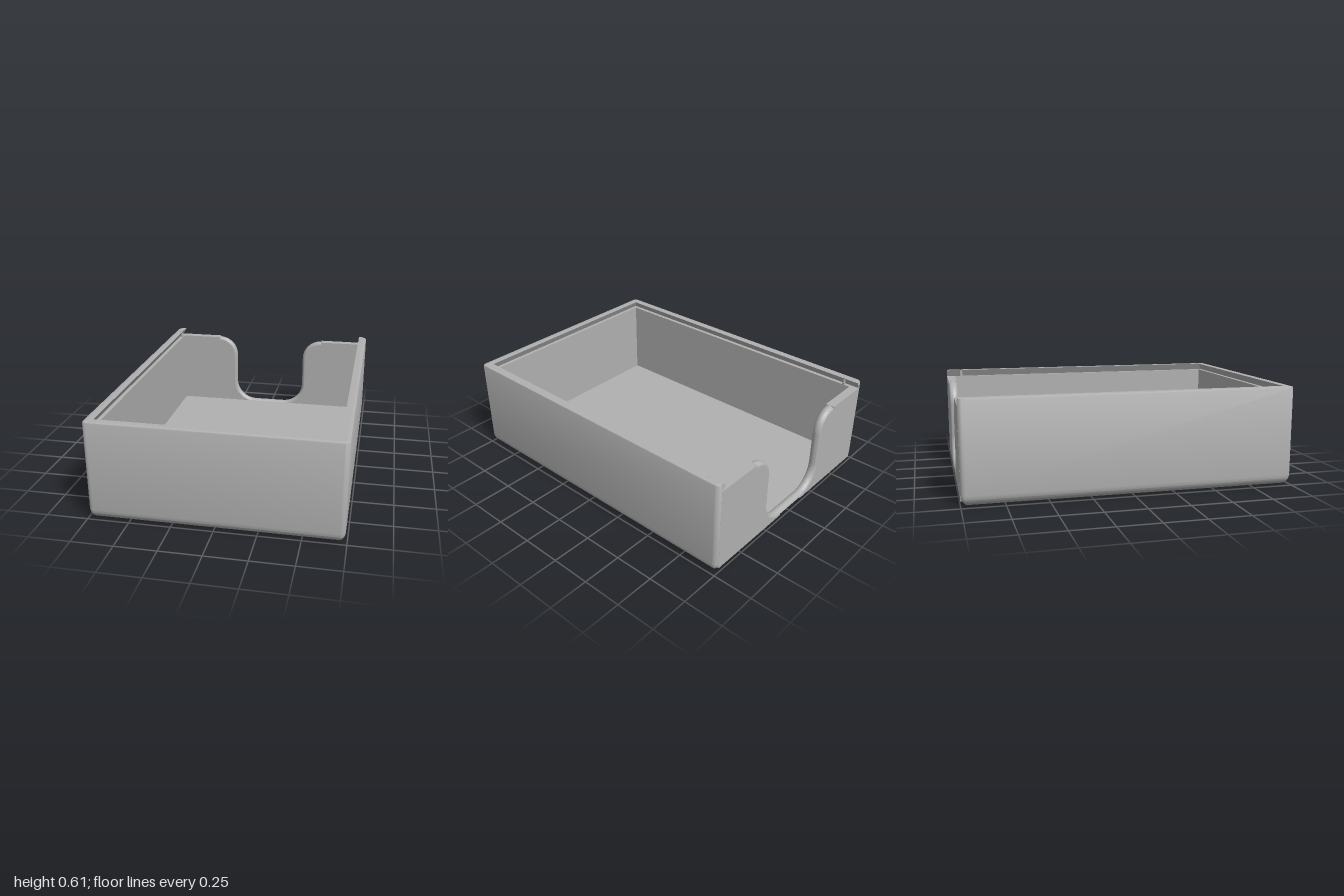
import * as THREE from 'three';
import { toCreasedNormals } from 'three/addons/utils/BufferGeometryUtils.js';

const HX = 0.74, HZ = 1, H = 0.61;     // half width, half depth, height
const R = 0.03, FILLET = 0.065;        // upright corner and bottom edge radii
const WALL = 0.055, SHELF = 0.565, BASE = 0.04;

// Surface through rows of points; it faces (along row) x (row to row)
function grid(rows) {
  const n = rows[0].length, index = [];
  for (let i = 0; i < rows.length - 1; i++) {
    for (let j = 0; j < n - 1; j++) {
      const a = i * n + j, b = a + n;
      index.push(a, a + 1, b, a + 1, b + 1, b);
    }
  }
  const geo = new THREE.BufferGeometry();
  geo.setAttribute('position', new THREE.Float32BufferAttribute(rows.flat(2), 3));
  geo.setIndex(index);
  return toCreasedNormals(geo, 0.6);
}

// Carries a profile of [inset, y] points around the rounded rectangle
function sweepAround(profile, closed) {
  const corners = [[1, -1], [1, 1], [-1, 1], [-1, -1]], rows = [];
  corners.forEach(([sx, sz], c) => {
    for (let k = 0; k <= 6; k++) {
      const a = (c - 1 + k / 6) * Math.PI / 2;
      rows.push(profile.map(([u, y]) => {
        const r = Math.max(R - u, 0), inset = Math.max(u, R);
        const insetZ = !closed && sz < 0 ? R : inset;
        return [sx * (HX - inset) + r * Math.cos(a), y, sz * (HZ - insetZ) + r * Math.sin(a)];
      }));
    }
  });
  if (closed) rows.push(rows[0]);
  return grid(rows);
}

const filletInset = (y) => FILLET - Math.sqrt(FILLET ** 2 - (FILLET - y) ** 2);

export function createModel() {
  const model = new THREE.Group();
  const grey = new THREE.MeshStandardMaterial({ color: 0xb0b0b0 });
  grey.name = 'grey plastic';
  const add = (name, geo, x = 0, y = 0, z = 0) => {
    const mesh = new THREE.Mesh(geo, grey);
    mesh.name = name;
    mesh.position.set(x, y, z);
    model.add(mesh);
  };
  const extrude = (points, depth) => new THREE.ExtrudeGeometry(
    new THREE.Shape(points.map(([x, y]) => new THREE.Vector2(x, y))),
    { depth, bevelEnabled: false });

  // Rounded bottom edge, floor
  const base = [];
  for (let k = 0; k <= 8; k++) {
    const t = k / 8 * Math.acos((FILLET - BASE) / FILLET);
    const y = FILLET * (1 - Math.cos(t));
    base.push([filletInset(y), y]);
  }
  base.push([0.07, BASE]);
  add('bottomEdge', sweepAround(base, true));
  add('bottom', new THREE.BoxGeometry(2 * (HX - FILLET), 0.03, 2 * (HZ - FILLET)), 0, 0.015, 0);
  add('floor', new THREE.BoxGeometry(2 * (HX - WALL), 0.02, 2 * (HZ - WALL)), 0, 0.04, 0);

  // Side and front walls with the undercut groove for a sliding lid
  add('sideAndFrontWalls', sweepAround([
    [filletInset(BASE), BASE], [filletInset(0.05), 0.05], [0, FILLET],
    [0, H - 0.01], [0.003, H - 0.003], [0.01, H], [R, H], [WALL, H],
    [R, SHELF], [WALL, SHELF], [WALL, BASE],
  ], false));

  // Right half of the thumb notch, from the top down to the middle
  const curve = new THREE.Path();
  curve.absarc(0.40, 0.425, 0.12, Math.PI / 2, Math.PI, false);
  curve.lineTo(0.28, 0.21);
  curve.absarc(0.11, 0.21, 0.17, 0, -Math.PI / 2, true);
  const half = curve.getPoints(14)
    .filter((p, i, all) => !i || p.distanceTo(all[i - 1]) > 1e-5)
    .map((p) => [p.x, p.y]);

  for (const s of [1, -1]) {
    const mirrored = (points) => points.map(([x, y]) => [s * x, y]);
    const side = s > 0 ? 'left' : 'right';
    add(side + 'BackWall', extrude(mirrored([
      [0.712, 0.03], [0.712, SHELF], [0.40, SHELF], ...half, [0.11, 0.03],
    ]), WALL), 0, 0, -HZ);
    // Open end of the groove lip
    add(side + 'LipEnd', extrude(mirrored([
      [HX - 0.028, H], [HX - WALL, H], [HX - R, SHELF], [HX - 0.028, SHELF],
    ]), 0.032), 0, 0, -HZ);
    // Small lid catch
    add(side + 'Catch', new THREE.CylinderGeometry(0.01, 0.01, 0.05, 16), s * 0.695, 0.587, -0.90);
  }

  // Rounded rim along the notch
  const path = [...half, ...half.map(([x, y]) => [-x, y]).reverse()];
  const rim = [];
  for (let k = 0; k <= 10; k++) {
    const a = (k / 10 - 0.5) * Math.PI;
    rim.push(path.map(([x, y], i) => {
      const p = path[Math.max(i - 1, 0)], q = path[Math.min(i + 1, path.length - 1)];
      const tx = q[0] - p[0], ty = q[1] - p[1], len = Math.hypot(tx, ty);
      const out = 0.02 * Math.cos(a);
      return [x + ty / len * out, y - tx / len * out, -HZ + WALL / 2 * (1 + Math.sin(a))];
    }));
  }
  add('notchRim', grid(rim));

  return model;
}
